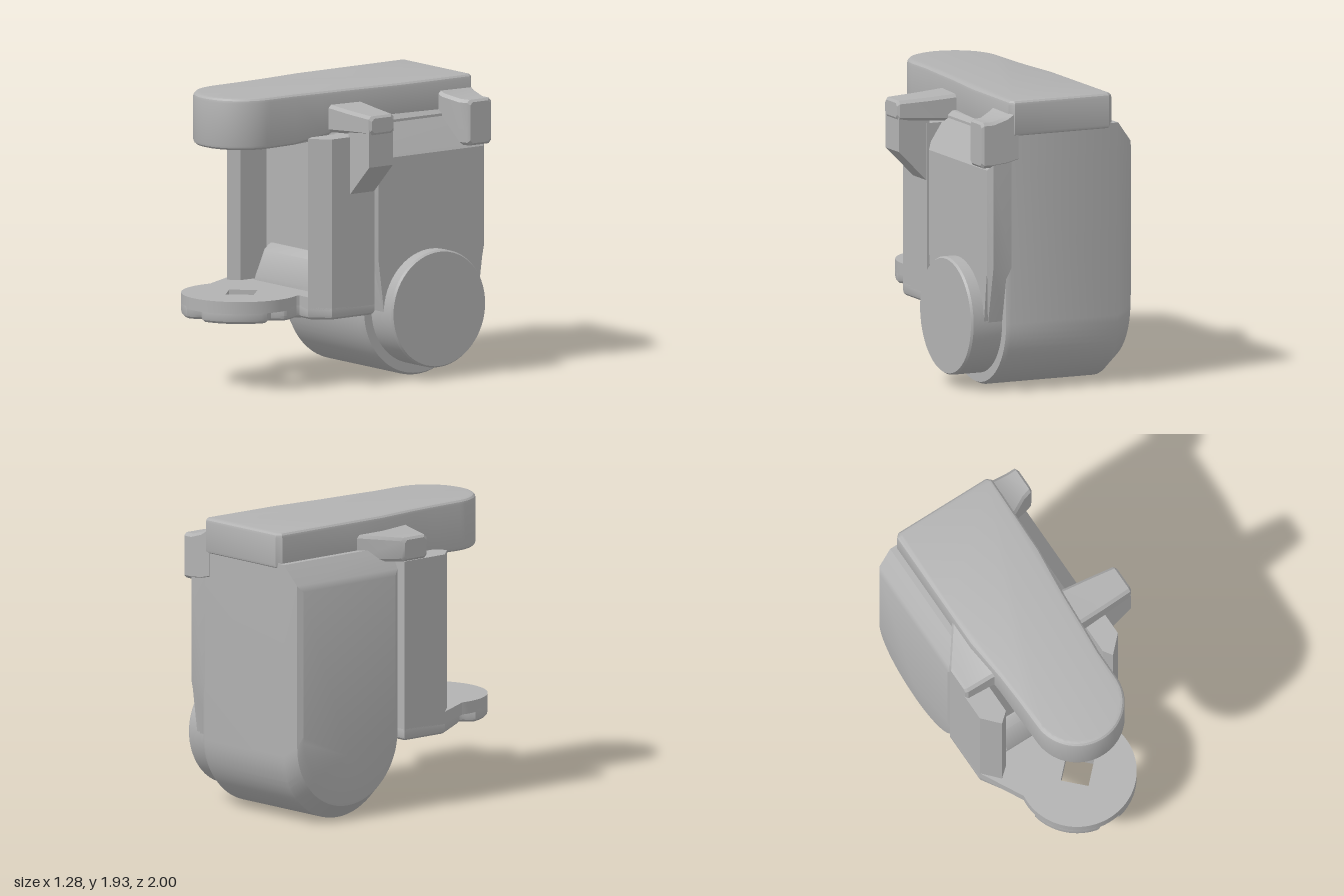
import * as THREE from 'three';
import { toCreasedNormals } from 'three/addons/utils/BufferGeometryUtils.js';

const casing = new THREE.MeshStandardMaterial({ color: 0xb2b2b2 });
casing.name = 'greyCasing';

// Closed solid through rings of [x, y, z] points; fan caps at both ends
function loft(rings) {
  const pos = [];
  const tri = (a, b, c) => pos.push(...a, ...b, ...c);
  const n = rings[0].length;
  for (let r = 0; r < rings.length - 1; r++) {
    for (let i = 0; i < n; i++) {
      const j = (i + 1) % n;
      const [a, b, c, d] = [rings[r][i], rings[r][j], rings[r + 1][j], rings[r + 1][i]];
      tri(a, b, c);
      tri(a, c, d);
    }
  }
  const cap = (ring, flip) => {
    const mid = [0, 1, 2].map(k => ring.reduce((s, p) => s + p[k], 0) / n);
    ring.forEach((p, i) => {
      const q = ring[(i + 1) % n];
      if (flip) tri(mid, q, p); else tri(mid, p, q);
    });
  };
  cap(rings[0], true);
  cap(rings[rings.length - 1], false);
  // Turn the faces outward if the rings ran the other way
  let volume = 0;
  const v = i => new THREE.Vector3(pos[i], pos[i + 1], pos[i + 2]);
  for (let i = 0; i < pos.length; i += 9) volume += v(i).dot(v(i + 3).cross(v(i + 6)));
  if (volume < 0) {
    for (let i = 0; i < pos.length; i += 9) {
      for (let k = 0; k < 3; k++) [pos[i + 3 + k], pos[i + 6 + k]] = [pos[i + 6 + k], pos[i + 3 + k]];
    }
  }
  const g = new THREE.BufferGeometry();
  g.setAttribute('position', new THREE.Float32BufferAttribute(pos, 3));
  return toCreasedNormals(g, 0.5);
}

// Horizontal slab from an [x, z] outline, between two heights
function slab(points, bottom, top, bevel = 0, hole = null) {
  const toVec = p => new THREE.Vector2(p[0], p[1]);
  const shape = new THREE.Shape(points.map(toVec));
  if (hole) shape.holes.push(new THREE.Path(hole.map(toVec)));
  const g = new THREE.ExtrudeGeometry(shape, {
    depth: top - bottom - 2 * bevel, bevelEnabled: bevel > 0, bevelThickness: bevel,
    bevelSize: bevel, bevelOffset: -bevel, bevelSegments: 3,
  });
  g.rotateX(Math.PI / 2);
  g.translate(0, top - bevel, 0);
  return g;
}

const arc = (cx, cy, radius, from, to, n) => Array.from({ length: n + 1 }, (_, i) => {
  const a = from + (to - from) * i / n;
  const r = typeof radius === 'function' ? radius(a) : radius;
  return [cx + r * Math.cos(a), cy + r * Math.sin(a)];
});

// U-shaped section of the body: flat top, half-round bottom
function uRing(x, half, centreY, top) {
  const bottom = arc(-0.53, centreY, half, 0, -Math.PI, 32);
  return [[-0.53 + half, top], ...bottom, [-0.53 - half, top]].map(([z, y]) => [x, y, z]);
}

// Chamfered rectangle section for the lugs
function lugRing([x, y0, y1, z0, z1]) {
  const c = 0.02;
  return [[y0, z0 + c], [y0 + c, z0], [y1 - c, z0], [y1, z0 + c],
    [y1, z1 - c], [y1 - c, z1], [y0 + c, z1], [y0, z1 - c]].map(([y, z]) => [x, y, z]);
}

export function createModel() {
  const group = new THREE.Group();
  const add = (name, geometry) => {
    const mesh = new THREE.Mesh(geometry, casing);
    mesh.name = name;
    group.add(mesh);
    return mesh;
  };

  // Rear body with a bevelled left side
  add('body', loft([
    uRing(-0.62, 0.4, 0.6, 1.56), uRing(-0.6, 0.435, 0.53, 1.6), uRing(-0.5, 0.46, 0.463, 1.73),
    uRing(0.27, 0.46, 0.463, 1.73), uRing(0.3, 0.445, 0.463, 1.7),
  ]));

  // Raised right panel with a sloped shoulder, narrowing to the dial
  const panelRing = (x, half, top) => [[half, top], [half, 0.83], [0.38, 0.45],
    [-0.38, 0.45], [-half, 0.83], [-half, top]].map(([z, y]) => [x, y, -0.53 + z]);
  add('sidePanel', loft([panelRing(0.27, 0.46, 1.73), panelRing(0.4, 0.46, 1.53), panelRing(0.43, 0.43, 1.48)]));

  // Round side dial
  const dialProfile = [[0, 0], [0.385, 0], [0.385, 0.21], [0.375, 0.225], [0, 0.225]];
  const dial = new THREE.LatheGeometry(dialProfile.map(p => new THREE.Vector2(...p)), 64);
  dial.rotateZ(-Math.PI / 2);
  dial.translate(0.295, 0.465, -0.53);
  add('dial', toCreasedNormals(dial, 0.5));

  // Front channel: back wall and two pointed side walls
  add('channel', slab([
    [0.43, -0.07], [0.43, 0.28], [0.32, 0.39], [0.28, 0.33], [0.28, 0.12],
    [-0.47, 0.12], [-0.47, 0.33], [-0.54, 0.39], [-0.64, 0.28], [-0.64, -0.07],
  ], 0.54, 1.65));

  // Floor running out into a round tray with a diamond hole
  const floorOutline = radius => [
    [0.43, -0.07], [0.43, 0.28], [0.32, 0.39], [0.23, 0.39],
    ...arc(-0.105, 0.613, radius, -0.55, Math.PI + 0.12, 72), [-0.64, 0.28], [-0.64, -0.07],
  ];
  const diamond = r => arc(-0.1, 0.61, r, 0, Math.PI * 1.5, 3);
  add('tray', toCreasedNormals(slab(floorOutline(0.386), 0.53, 0.61, 0, diamond(0.13)), 0.5));

  // Underside of the tray with small notches around the rim
  const notched = a => {
    const gap = Math.min(...[0, Math.PI / 2, Math.PI].map(t => Math.abs(a - t)));
    return 0.386 - 0.08 * Math.max(0, 1 - gap / 0.2);
  };
  add('trayBase', toCreasedNormals(slab(floorOutline(notched), 0.46, 0.58, 0.035, diamond(0.15)), 0.5));

  // Sloping step at the back of the tray
  const stepRing = (x, d) => [[0.58, 0.08], [0.58, 0.25], [0.64, 0.25 - d], [0.8, 0.18 - d], [0.845 - d, 0.13],
    [0.845 - d, 0.08]].map(([y, z]) => [x, y, z]);
  add('step', loft([stepRing(-0.44, 0.02), stepRing(-0.41, 0), stepRing(0.2, 0), stepRing(0.23, 0.02)]));

  // Overhanging lid with a rounded nose, thinner towards the back
  const lid = slab([
    [-0.43, -1], [0.25, -1], [0.28, -0.97], [0.27, -0.4], [0.235, -0.05], [0.22, 0.2], [0.205, 0.4],
    ...arc(-0.105, 0.61, 0.31, 0, Math.PI, 40),
    [-0.42, 0.4], [-0.43, 0.2], [-0.46, -0.1], [-0.46, -0.4], [-0.46, -0.97],
  ], 1.59, 1.93, 0.03);
  const p = lid.attributes.position;
  for (let i = 0; i < p.count; i++) {
    if (p.getY(i) < 1.76) {
      const rise = THREE.MathUtils.clamp((0.42 - p.getZ(i)) / 0.6, 0, 1) * 0.1;
      p.setY(i, p.getY(i) + rise);
    }
  }
  add('lid', toCreasedNormals(lid, 0.5));

  // Lugs: each row is x, low y, high y, back z, front z
  const lugs = {
    leftLug: [[0.15, 1.65, 1.84, -0.13, 0.15], [0.43, 1.67, 1.82, -0.1, 0.14],
      [0.625, 1.68, 1.81, -0.075, 0.13], [0.64, 1.7, 1.795, -0.06, 0.115]],
    rightLug: [[-0.4, 1.65, 1.85, -0.38, 0.15], [-0.46, 1.65, 1.83, -0.32, 0.14],
      [-0.63, 1.65, 1.805, -0.09, 0.13], [-0.645, 1.665, 1.79, -0.07, 0.115]],
    rearLug: [[0.22, 1.53, 1.88, -0.995, -0.69], [0.3, 1.51, 1.83, -0.995, -0.72],
      [0.4, 1.5, 1.8, -0.995, -0.78], [0.465, 1.5, 1.8, -0.995, -0.8], [0.48, 1.515, 1.785, -0.98, -0.815]],
  };
  for (const [name, rows] of Object.entries(lugs)) add(name, loft(rows.map(lugRing)));

  // Angled hook hanging below the left lug
  const hookRing = z => [[0.63, 1.72], [0.63, 1.475], [0.43, 1.275], [0.41, 1.275], [0.41, 1.72]]
    .map(([x, y]) => [x, y, z]);
  add('hook', loft([hookRing(-0.065), hookRing(0.13)]));

  return group;
}
